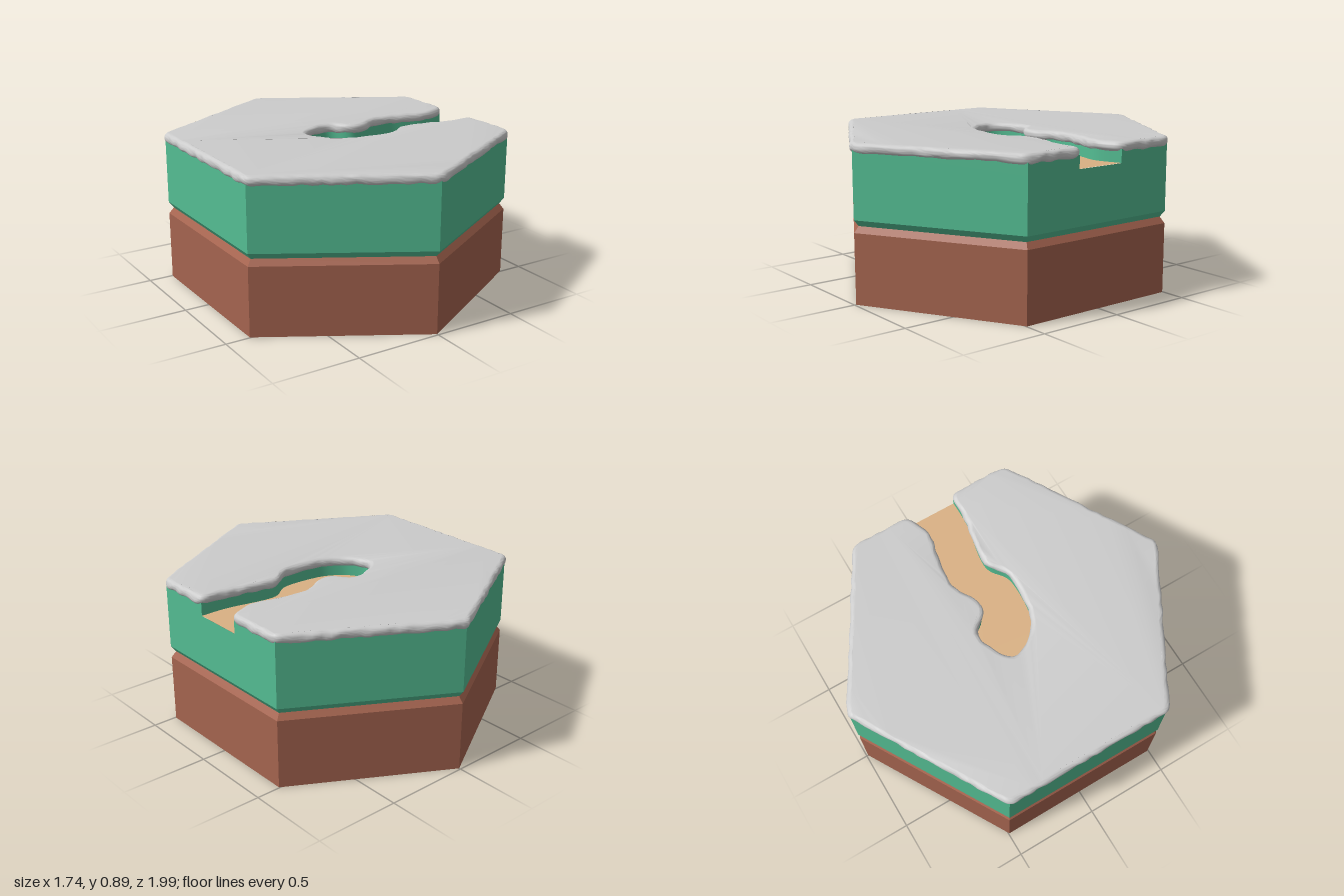
import * as THREE from 'three';
import { mergeVertices, toCreasedNormals } from 'three/addons/utils/BufferGeometryUtils.js';

const R = 0.99;                       // hexagon corner radius
const X = R * Math.cos(Math.PI / 6);  // distance to the flat sides
const FLOOR = 0.775;

const material = (color, extra = {}) => new THREE.MeshStandardMaterial({ color, ...extra });

function addMesh(group, name, geometry, mat) {
  const mesh = new THREE.Mesh(geometry, mat);
  mesh.name = name;
  group.add(mesh);
}

// Channel edge in (x, z), from the back of the mouth round to the front
const channelEdge = new THREE.SplineCurve([
  [X, -0.15], [0.71, -0.1], [0.59, -0.12], [0.47, -0.145], [0.34, -0.14], [0.24, -0.085],
  [0.17, -0.07], [0.12, -0.095], [0.07, -0.155], [0.02, -0.175], [-0.07, -0.15],
  [-0.155, -0.1], [-0.185, -0.03], [-0.15, 0.05], [-0.09, 0.115], [0.03, 0.17],
  [0.26, 0.18], [0.41, 0.1], [0.69, 0.145], [X, 0.15],
].map(([x, z]) => new THREE.Vector2(x, z))).getSpacedPoints(90);

// Hexagon corners from front right, round the left, to back right
const corners = [1, 0, 5, 4, 3, 2].map((i) => {
  const a = (i * Math.PI) / 3;
  return new THREE.Vector2(R * Math.sin(a), R * Math.cos(a));
});

// Shapes are drawn with -z as their second axis, then laid flat
const toShape = (points) => new THREE.Shape(points.map((p) => new THREE.Vector2(p.x, -p.y)));
const layFlat = (geometry, y) => geometry.rotateX(-Math.PI / 2).translate(0, y, 0);

// Replace sharp corners by short curves and fill the straights with points
function softOutline() {
  const inner = channelEdge.filter((p) => p.x < X - 0.05);
  const sharp = [new THREE.Vector2(X, 0.15), ...corners, new THREE.Vector2(X, -0.15)];
  const out = [...inner];
  sharp.forEach((c, i) => {
    const prev = i ? sharp[i - 1] : inner[inner.length - 1];
    const next = i < sharp.length - 1 ? sharp[i + 1] : inner[0];
    const mouth = i === 0 || i === sharp.length - 1;
    const cut = mouth ? 0.045 : 0.035;
    const toward = (q) => c.clone().add(q.clone().sub(c).setLength(cut));
    const start = toward(prev);
    if (i) {
      const from = out[out.length - 1].clone();
      const n = Math.max(2, Math.round(from.distanceTo(start) / 0.025));
      for (let k = 1; k < n; k++) out.push(from.clone().lerp(start, k / n));
    }
    out.push(...new THREE.QuadraticBezierCurve(start, c, toward(next)).getPoints(5));
  });
  return out;
}

// Rounded covering slab with a gently uneven rim
function capGeometry() {
  const bevel = 0.026;
  let g = new THREE.ExtrudeGeometry(toShape(softOutline()), {
    depth: 0.005, bevelEnabled: true, bevelThickness: bevel, bevelSize: 0.026,
    bevelOffset: -0.014, bevelSegments: 6, curveSegments: 1,
  });
  layFlat(g, 0.833 + bevel);
  g.deleteAttribute('normal');
  g.deleteAttribute('uv');
  g = mergeVertices(g, 1e-5);
  const p = g.attributes.position;
  for (let i = 0; i < p.count; i++) {
    const x = p.getX(i), y = p.getY(i), z = p.getZ(i);
    const low = y < 0.875 ? 1 : 0.25;
    p.setXYZ(i,
      x + 0.003 * Math.sin(41 * z + 2 * Math.sin(17 * z) + 60 * y),
      y + 0.003 * low * Math.sin(33 * x + 47 * z + 2 * Math.sin(13 * x)),
      z + 0.003 * Math.sin(43 * x + 2 * Math.sin(19 * x) + 50 * y));
  }
  return toCreasedNormals(g, 0.9);
}

export function createModel() {
  const group = new THREE.Group();
  group.name = 'hexTile';
  const green = 0x54bd93;

  // Six-sided blocks with a chamfered seam between them
  const prism = (profile) =>
    new THREE.LatheGeometry(profile.map(([r, y]) => new THREE.Vector2(r, y)), 6);
  addMesh(group, 'earthBase',
    prism([[0, 0], [R, 0], [R, 0.4], [0.962, 0.435], [0, 0.435]]),
    material(0xa5644f, { flatShading: true }));
  addMesh(group, 'grassBlock',
    prism([[0, 0.435], [0.962, 0.435], [R, 0.47], [R, FLOOR]]),
    material(green, { flatShading: true }));

  // Upper green layer, cut open by the channel
  const upper = new THREE.ExtrudeGeometry(toShape([...channelEdge, ...corners]),
    { depth: 0.075, bevelEnabled: false });
  addMesh(group, 'channelBanks', toCreasedNormals(layFlat(upper, FLOOR), 0.5), material(green));

  // Sandy channel bed
  addMesh(group, 'channelBed',
    layFlat(new THREE.ShapeGeometry(toShape(channelEdge)), FLOOR + 0.001),
    material(0xdab184, { side: THREE.DoubleSide }));

  addMesh(group, 'snowCap', capGeometry(), material(0xcccccc));
  return group;
}
